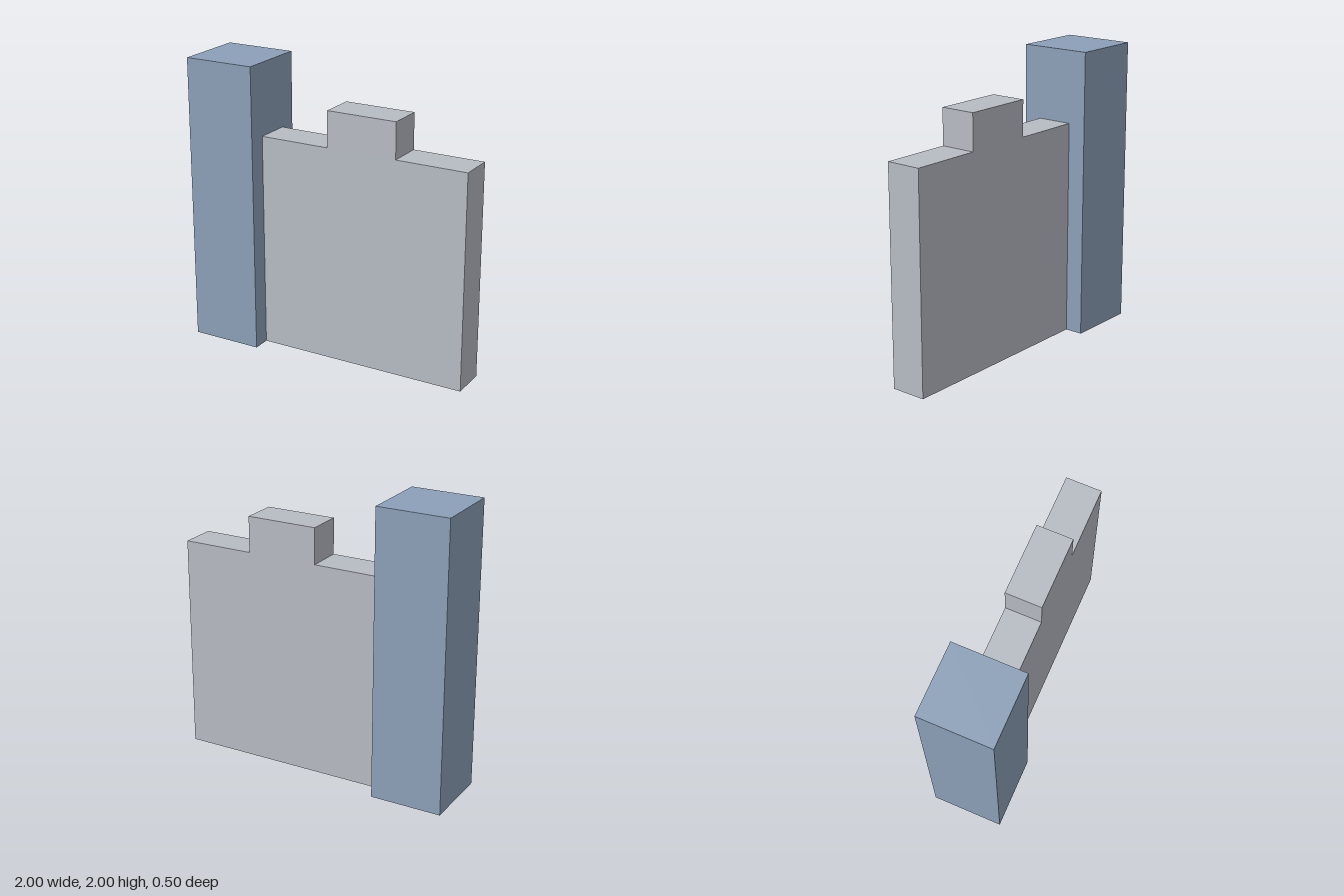
import * as THREE from 'three';

export function createModel() {
  const model = new THREE.Group();

  const towerBlue = new THREE.MeshStandardMaterial({ color: 0x8ca0b8 });
  towerBlue.name = 'slate blue';
  const wallGrey = new THREE.MeshStandardMaterial({ color: 0xb7bbc3 });
  wallGrey.name = 'stone grey';

  // Square tower at the right end of the wall
  const tower = new THREE.Mesh(new THREE.BoxGeometry(0.5, 2, 0.5), towerBlue);
  tower.name = 'tower';
  tower.position.set(-0.75, 1, 0);
  model.add(tower);

  // Wall outline with a single raised merlon, extruded through its thickness
  const thickness = 0.25;
  const outline = new THREE.Shape([
    [-0.5, 0], [1, 0], [1, 1.5], [0.5, 1.5],
    [0.5, 1.75], [0, 1.75], [0, 1.5], [-0.5, 1.5],
  ].map(([x, y]) => new THREE.Vector2(x, y)));
  const wallGeometry = new THREE.ExtrudeGeometry(outline, { depth: thickness, bevelEnabled: false });
  wallGeometry.translate(0, 0, -thickness / 2);
  const wall = new THREE.Mesh(wallGeometry, wallGrey);
  wall.name = 'wall';
  model.add(wall);

  return model;
}
